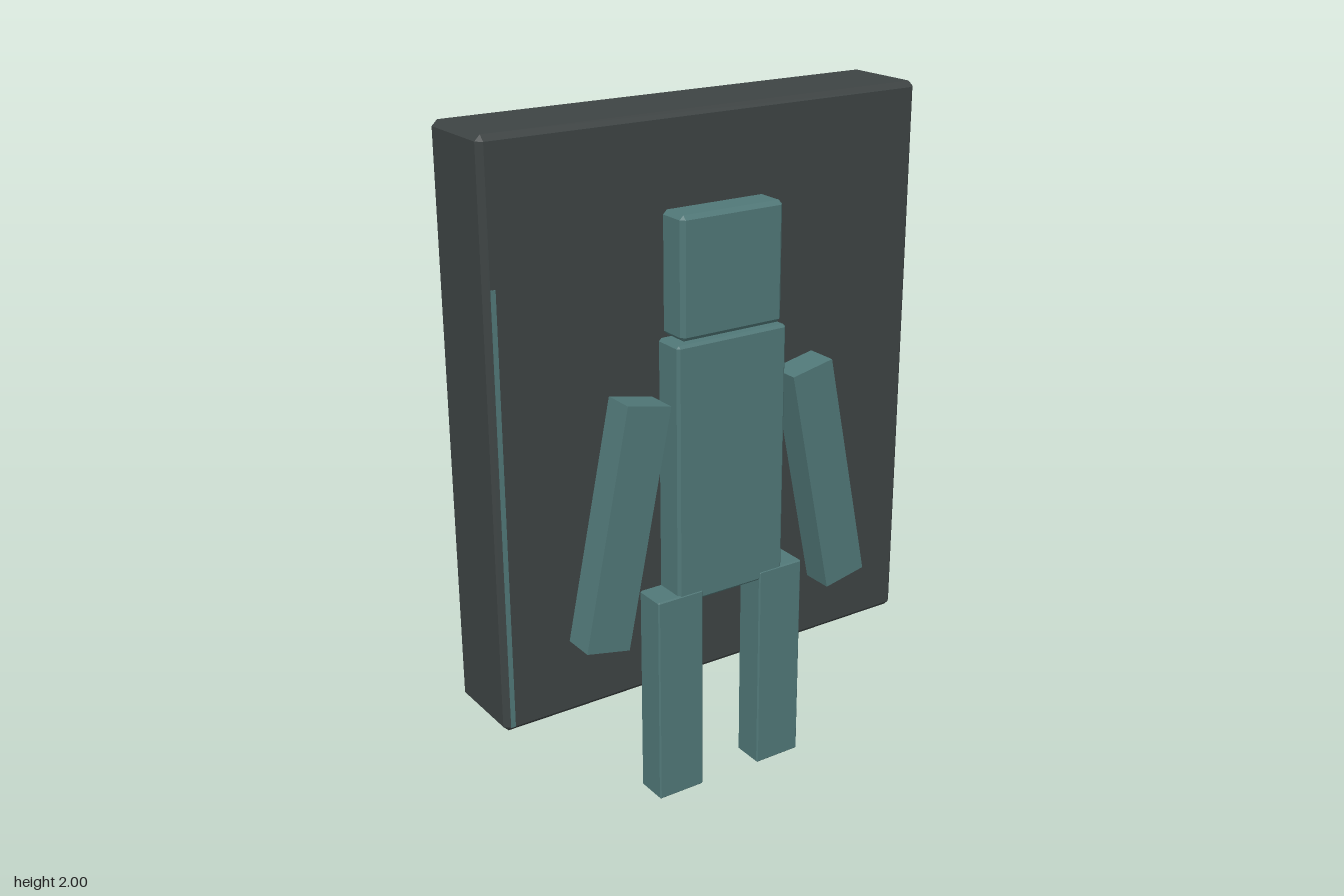
import * as THREE from 'three';
import { ConvexGeometry } from 'three/addons/geometries/ConvexGeometry.js';

// Box with chamfered edges, as the hull of three points per corner
function chamferBox(w, h, d, c) {
  const points = [];
  for (const sx of [-1, 1]) for (const sy of [-1, 1]) for (const sz of [-1, 1]) {
    for (let axis = 0; axis < 3; axis++) {
      const inset = [0, 1, 2].map((i) => (i === axis ? 0 : c));
      points.push(new THREE.Vector3(
        sx * (w / 2 - inset[0]), sy * (h / 2 - inset[1]), sz * (d / 2 - inset[2])));
    }
  }
  return new ConvexGeometry(points);
}

export function createModel() {
  const group = new THREE.Group();
  const charcoal = new THREE.MeshStandardMaterial({ name: 'charcoal', color: 0x3d4343 });
  const teal = new THREE.MeshStandardMaterial({ name: 'teal', color: 0x507777 });

  // Adds a block from its x, y and z ranges
  function block(name, material, [x0, x1], [y0, y1], [z0, z1], chamfer) {
    const [w, h, d] = [x1 - x0, y1 - y0, z1 - z0];
    const geometry = chamfer ? chamferBox(w, h, d, chamfer) : new THREE.BoxGeometry(w, h, d);
    const mesh = new THREE.Mesh(geometry, material);
    mesh.name = name;
    mesh.position.set((x0 + x1) / 2, (y0 + y1) / 2, (z0 + z1) / 2);
    group.add(mesh);
    return mesh;
  }

  // Backing slab with a thin strip along its front edge
  block('slab', charcoal, [-0.7, 0.7], [0.33, 2], [-0.18, 0.085], 0.016);
  block('edgeStrip', teal, [-0.684, -0.67], [0.346, 1.61], [0.083, 0.087]);

  // Figure
  block('head', teal, [-0.167, 0.167], [1.4, 1.745], [0.075, 0.177], 0.012);
  block('torso', teal, [-0.182, 0.182], [0.62, 1.392], [0.075, 0.178], 0.008);
  for (const [side, s] of [['left', 1], ['right', -1]]) {
    block(side + 'Leg', teal, [s * 0.176 - 0.076, s * 0.176 + 0.076], [0, 0.648], [0.08, 0.18], 0.004);
    const arm = block(side + 'Arm', teal,
      [s * 0.348 - 0.07, s * 0.348 + 0.07], [0.538, 1.252], [0.075, 0.182]);
    arm.rotation.z = s * 0.204;
  }

  return group;
}
